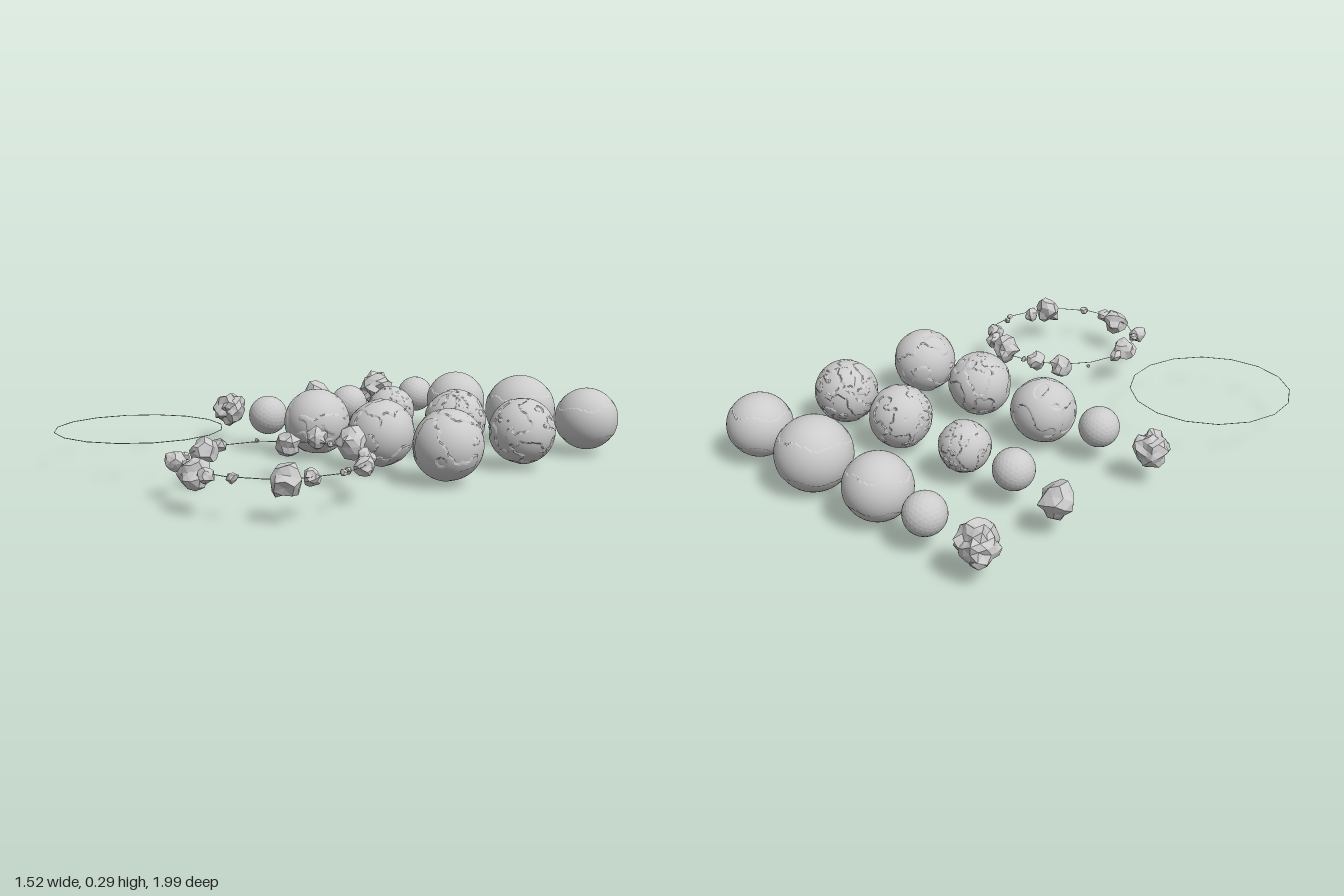
import * as THREE from 'three';

const MID = 0.155; // shared centre height

function material(flat) {
  return new THREE.MeshStandardMaterial({ color: 0xcccccc, flatShading: flat });
}

// Repeatable 0..1 value for a lattice point
function hash(x, y, z, seed) {
  const s = Math.sin(x * 127.1 + y * 311.7 + z * 74.7 + seed * 53.3) * 43758.5453;
  return s - Math.floor(s);
}

// Smooth value noise, 0..1
function noise(p, seed) {
  const i = [Math.floor(p.x), Math.floor(p.y), Math.floor(p.z)];
  const f = [p.x - i[0], p.y - i[1], p.z - i[2]].map((t) => t * t * (3 - 2 * t));
  let sum = 0;
  for (let c = 0; c < 8; c++) {
    const b = [c & 1, (c >> 1) & 1, c >> 2];
    const w = b.reduce((a, on, k) => a * (on ? f[k] : 1 - f[k]), 1);
    sum += w * hash(i[0] + b[0], i[1] + b[1], i[2] + b[2], seed);
  }
  return sum;
}

// Icosphere whose radius follows a rule of direction
function shapedSphere(detail, radiusAt) {
  const geo = new THREE.IcosahedronGeometry(1, detail);
  const pos = geo.attributes.position;
  const v = new THREE.Vector3();
  for (let i = 0; i < pos.count; i++) {
    v.fromBufferAttribute(pos, i).normalize();
    v.multiplyScalar(radiusAt(v));
    pos.setXYZ(i, v.x, v.y, v.z);
  }
  geo.computeVertexNormals();
  return geo;
}

function add(parent, name, geo, x, y, z, flat = true) {
  const mesh = new THREE.Mesh(geo, material(flat));
  mesh.name = name;
  mesh.position.set(x, y, z);
  parent.add(mesh);
  return mesh;
}

// Jagged rock
function rock(parent, name, x, y, z, r, seed, detail = 1) {
  const q = (t) => Math.round(t * 50);
  const geo = shapedSphere(detail, (d) => r * (0.72 + 0.4 * hash(q(d.x), q(d.y), q(d.z), seed)));
  const mesh = add(parent, name, geo, x, y, z);
  mesh.rotation.set(seed, seed * 1.7, seed * 0.6);
}

// Smooth globe with a shell that rises through it as land
function planet(parent, x, z, r, seed, scale, level) {
  const g = new THREE.Group();
  g.name = 'planet';
  g.position.set(x, MID, z);
  parent.add(g);
  add(g, 'sea', new THREE.SphereGeometry(r * 0.975, 40, 28), 0, 0, 0, false);
  const p = new THREE.Vector3();
  const land = shapedSphere(18, (d) => {
    const n = 0.65 * noise(p.copy(d).multiplyScalar(scale).addScalar(9), seed)
      + 0.35 * noise(p.copy(d).multiplyScalar(scale * 2.3).addScalar(9), seed + 1);
    return r * (0.985 + THREE.MathUtils.clamp((n - level) * 0.8, -0.03, 0.015));
  });
  add(g, 'land', land, 0, 0, 0);
}

// Smooth globe with a slightly raised, wavy belt
function bandedPlanet(parent, x, z, r, seed) {
  const g = new THREE.Group();
  g.name = 'bandedPlanet';
  g.position.set(x, MID, z);
  parent.add(g);
  add(g, 'globe', new THREE.SphereGeometry(r * 0.985, 40, 28), 0, 0, 0, false);
  const belt = shapedSphere(16, (d) => {
    const wave = 0.06 * Math.sin(Math.atan2(d.z, d.x) * 5 + seed);
    return r * (Math.abs(d.y + 0.12 * d.z + wave) < 0.5 ? 1 : 0.97);
  });
  add(g, 'belt', belt, 0, 0, 0);
}

// Thin sixteen-sided orbit line
function orbit(parent, x, z) {
  const geo = new THREE.TorusGeometry(0.327, 0.0015, 4, 16);
  geo.rotateX(Math.PI / 2);
  geo.rotateY(-0.05);
  add(parent, 'orbitRing', geo, x, MID, z);
}

export function createModel() {
  const root = new THREE.Group();
  root.name = 'planetSet';

  // Banded planets, back row
  [[-0.077, -0.85, 0.129], [0.285, -0.855, 0.148], [0.627, -0.855, 0.128]]
    .forEach(([x, z, r], i) => bandedPlanet(root, x, z, r, i * 2));

  // Planets with land: x, z, radius, noise scale, sea level
  [
    [-0.077, -0.43, 0.102, 2.6, 0.5], [0.287, -0.43, 0.126, 2.8, 0.47], [0.627, -0.43, 0.129, 2.9, 0.5],
    [-0.077, 0, 0.132, 1.5, 0.55], [0.285, 0, 0.131, 2, 0.5], [0.627, 0, 0.134, 1.8, 0.52],
  ].forEach(([x, z, r, scale, level], i) => planet(root, x, z, r, i * 3 + 2, scale, level));

  // Faceted moons
  for (const z of [-0.86, -0.43, 0.04]) {
    add(root, 'moon', new THREE.IcosahedronGeometry(0.08, 4), -0.335, MID, z);
  }

  // Loose asteroids
  [[-0.6, -0.865, 0.08], [-0.595, -0.48, 0.072], [-0.595, 0.04, 0.07]]
    .forEach(([x, z, r], i) => rock(root, 'asteroid', x, 0.153, z, r, i + 1, 2 - (i % 2)));

  // Orbit rings, the right one carrying a belt of rocks
  orbit(root, -0.437, 0.616);
  orbit(root, 0.39, 0.62);
  const belt = new THREE.Group();
  belt.name = 'asteroidBelt';
  root.add(belt);
  // x, height, z, radius
  [
    [0.43, 0.175, 0.3, 0.06], [0.575, 0.15, 0.37, 0.037], [0.655, 0.145, 0.455, 0.037],
    [0.695, 0.155, 0.575, 0.015], [0.717, 0.155, 0.615, 0.015], [0.675, 0.15, 0.715, 0.032],
    [0.653, 0.15, 0.81, 0.058], [0.523, 0.155, 0.92, 0.021], [0.42, 0.15, 0.945, 0.032],
    [0.343, 0.145, 0.935, 0.057], [0.157, 0.15, 0.875, 0.038], [0.14, 0.155, 0.825, 0.021],
    [0.083, 0.15, 0.695, 0.052], [0.062, 0.155, 0.607, 0.03], [0.077, 0.155, 0.445, 0.01],
    [0.178, 0.145, 0.38, 0.048], [0.25, 0.17, 0.305, 0.042], [0.325, 0.155, 0.305, 0.015],
  ].forEach(([x, y, z, r], i) => rock(belt, 'beltRock', x, y, z, r, i + 5, r > 0.03 ? 1 : 0));

  return root;
}
